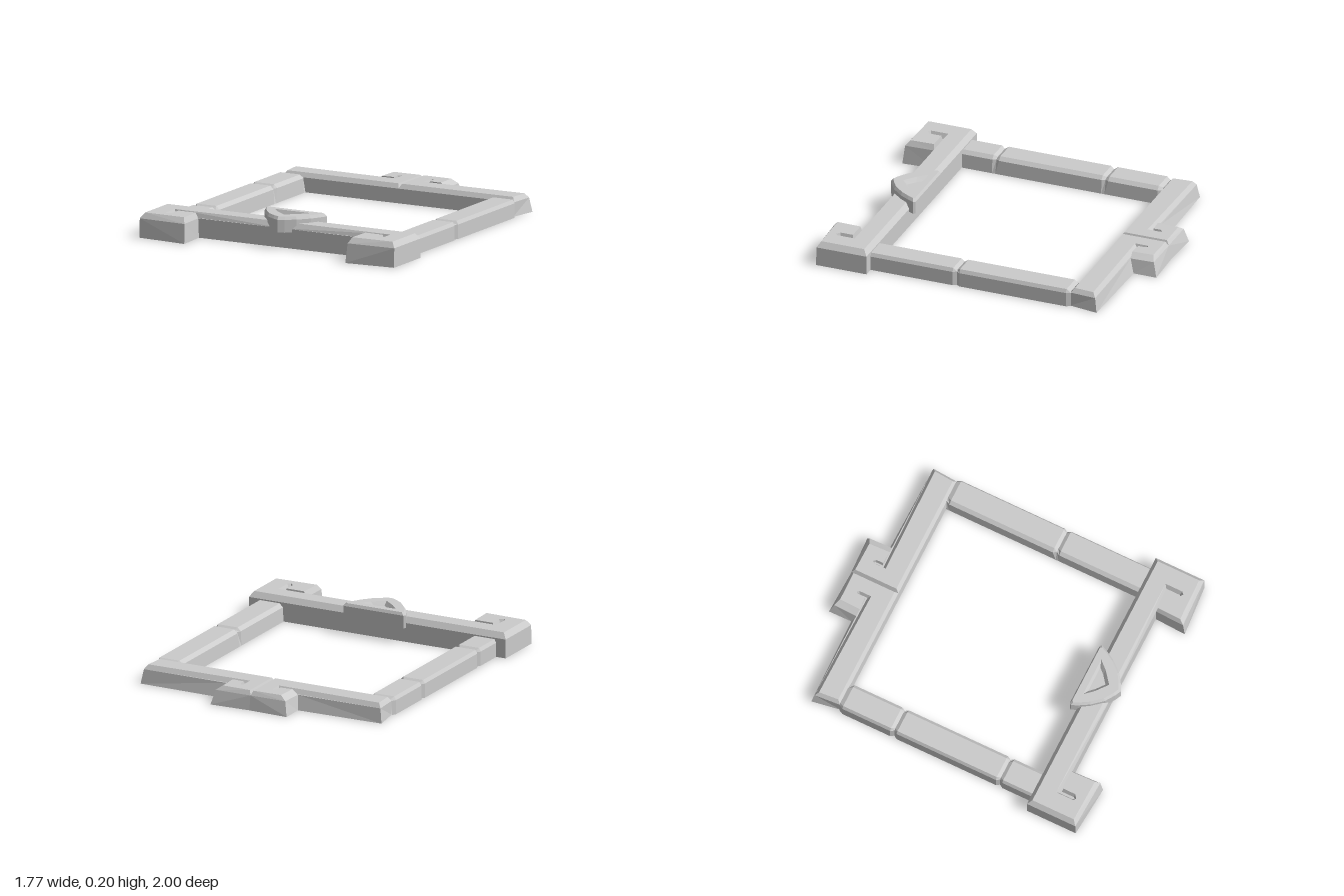
import * as THREE from 'three';

const material = new THREE.MeshStandardMaterial({ color: 0xcccccc, flatShading: true, side: THREE.DoubleSide });

// Lift an outline of [x, z] pairs to height y
const at = (y, outline) => outline.map(([x, z]) => [x, y, z]);

// Quads between successive rings of points
function loft(rings, closed) {
  const out = [];
  for (let r = 0; r < rings.length - 1; r++) {
    const low = rings[r], high = rings[r + 1], n = low.length;
    for (let i = 0; i < (closed ? n : n - 1); i++) {
      const j = (i + 1) % n;
      out.push(low[i], low[j], high[j], low[i], high[j], high[i]);
    }
  }
  return out;
}

// Fill a ring with upward-facing triangles, with optional hole
function cap(ring, hole = []) {
  const flat = (pts) => pts.map(([x, , z]) => new THREE.Vector2(x, -z));
  const all = [...ring, ...hole];
  const faces = THREE.ShapeUtils.triangulateShape(flat(ring), hole.length ? [flat(hole)] : []);
  return faces.flatMap(([a, b, c]) => {
    const [A, B, C] = [all[a], all[b], all[c]];
    const up = (B[0] - A[0]) * (A[2] - C[2]) - (A[2] - B[2]) * (C[0] - A[0]);
    return up > 0 ? [A, B, C] : [A, C, B];
  });
}

// Turn a triangle list into a mesh; side -1 mirrors it in x
function mesh(name, tris, side = 1) {
  const pos = [];
  for (let i = 0; i < tris.length; i += 3) {
    const t = side > 0 ? tris.slice(i, i + 3) : [tris[i], tris[i + 2], tris[i + 1]];
    t.forEach(([x, y, z]) => pos.push(x * side, y, z));
  }
  const geo = new THREE.BufferGeometry();
  geo.setAttribute('position', new THREE.Float32BufferAttribute(pos, 3));
  geo.computeVertexNormals();
  const m = new THREE.Mesh(geo, material);
  m.name = name;
  return m;
}

// Half a beam: open skirt, bevelled top with a hooked slot, and the slot floor
function beamHalf(name, side, { foot, shoulder, low, high, yLow, yHigh, slot, seam }) {
  const lowRing = at(yLow, low), highRing = at(yHigh, high);
  return mesh(name, [
    ...loft([at(0, foot), at(yLow, shoulder)], false),
    ...loft([lowRing, highRing], seam),
    ...cap(highRing),
    ...cap(lowRing.slice(...slot)),
  ], side);
}

const frontBeam = {
  foot: [[0, 0.8], [0.57, 0.8], [0.56, 1], [0.885, 0.975], [0.885, 0.645], [0, 0.645]],
  shoulder: [[0, 0.8], [0.575, 0.8], [0.568, 0.985], [0.885, 0.972], [0.885, 0.645], [0, 0.645]],
  low: [[0, 0.8], [0.735, 0.79], [0.735, 0.88], [0.728, 0.89], [0.72, 0.88], [0.72, 0.8],
    [0.575, 0.8], [0.568, 0.985], [0.885, 0.972], [0.885, 0.645], [0, 0.645]],
  high: [[0, 0.777], [0.75, 0.777], [0.75, 0.89], [0.735, 0.905], [0.71, 0.885], [0.71, 0.805],
    [0.59, 0.805], [0.585, 0.957], [0.86, 0.95], [0.86, 0.67], [0, 0.67]],
  yLow: 0.12, yHigh: 0.155, slot: [0, 7], seam: false,
};

const backBeam = {
  foot: [[0, -0.655], [0.8, -0.655], [0.83, -0.84], [0.26, -0.85], [0.262, -1], [0, -0.99]],
  shoulder: [[0, -0.66], [0.803, -0.66], [0.815, -0.825], [0.245, -0.825], [0.24, -0.975], [0, -0.975]],
  low: [[0, -0.66], [0.803, -0.66], [0.815, -0.825], [0.11, -0.815], [0.11, -0.87], [0.115, -0.88],
    [0.12, -0.87], [0.12, -0.825], [0.245, -0.825], [0.24, -0.975], [0, -0.975]],
  high: [[0.012, -0.68], [0.785, -0.68], [0.795, -0.805], [0.1, -0.795], [0.1, -0.875], [0.11, -0.887],
    [0.125, -0.87], [0.125, -0.825], [0.205, -0.82], [0.2, -0.955], [0.012, -0.958]],
  yLow: 0.09, yHigh: 0.118, slot: [2, 9], seam: true,
};

// Side bar lofted along z, pinched into a V groove at each joint
function sideBar(name, side, joints) {
  const section = (z, pinch) => [
    [0.645, 0, z], [0.65 + pinch, 0.09, z], [0.672 + pinch, 0.112 - pinch, z],
    [0.808 - pinch, 0.112 - pinch, z], [0.82 - pinch, 0.09, z], [0.82 - pinch, 0, z],
  ];
  const stations = [[0.65, 0]];
  joints.forEach((z) => stations.push([z + 0.022, 0], [z, 0.014], [z - 0.022, 0]));
  stations.push([-0.635, 0], [-0.662, 0.014]);
  return mesh(name, loft(stations.map(([z, p]) => section(z, p)).reverse().map((r) => r.reverse()), false), side);
}

// Curved shield plate with a sunken triangle
function shield() {
  const right = [[0.04, 0.825], [0.1, 0.785], [0.16, 0.715], [0.195, 0.655], [0.215, 0.612], [0.205, 0.6]];
  const outline = [[0, 0.845], ...right, ...right.map(([x, z]) => [-x, z]).reverse()];
  const inset = outline.map(([x, z]) => [x * 0.92, 0.69 + (z - 0.69) * 0.9]);
  const triangle = (w, back, mid, tip) =>
    [[0, tip], [w * 0.6, mid], [w, back], [-w, back], [-w * 0.6, mid]];
  const rim = at(0.198, triangle(0.125, 0.65, 0.705, 0.765));
  const floor = at(0.172, triangle(0.085, 0.664, 0.7, 0.74));
  const top = at(0.198, inset);
  return mesh('shieldPlate', [
    ...loft([at(0.1, outline), at(0.18, outline), top], true),
    ...cap(top, rim),
    ...loft([floor, rim], true).reverse(),
    ...cap(floor),
  ]);
}

export function createModel() {
  const group = new THREE.Group();
  group.name = 'stoneFrame';
  for (const [side, word] of [[1, 'left'], [-1, 'right']]) {
    group.add(beamHalf(word + 'FrontBeam', side, frontBeam));
    group.add(beamHalf(word + 'BackBeam', side, backBeam));
  }
  group.add(sideBar('leftSideBar', 1, [0.085]));
  group.add(sideBar('rightSideBar', -1, [0.425, -0.29]));
  group.add(shield());
  return group;
}
